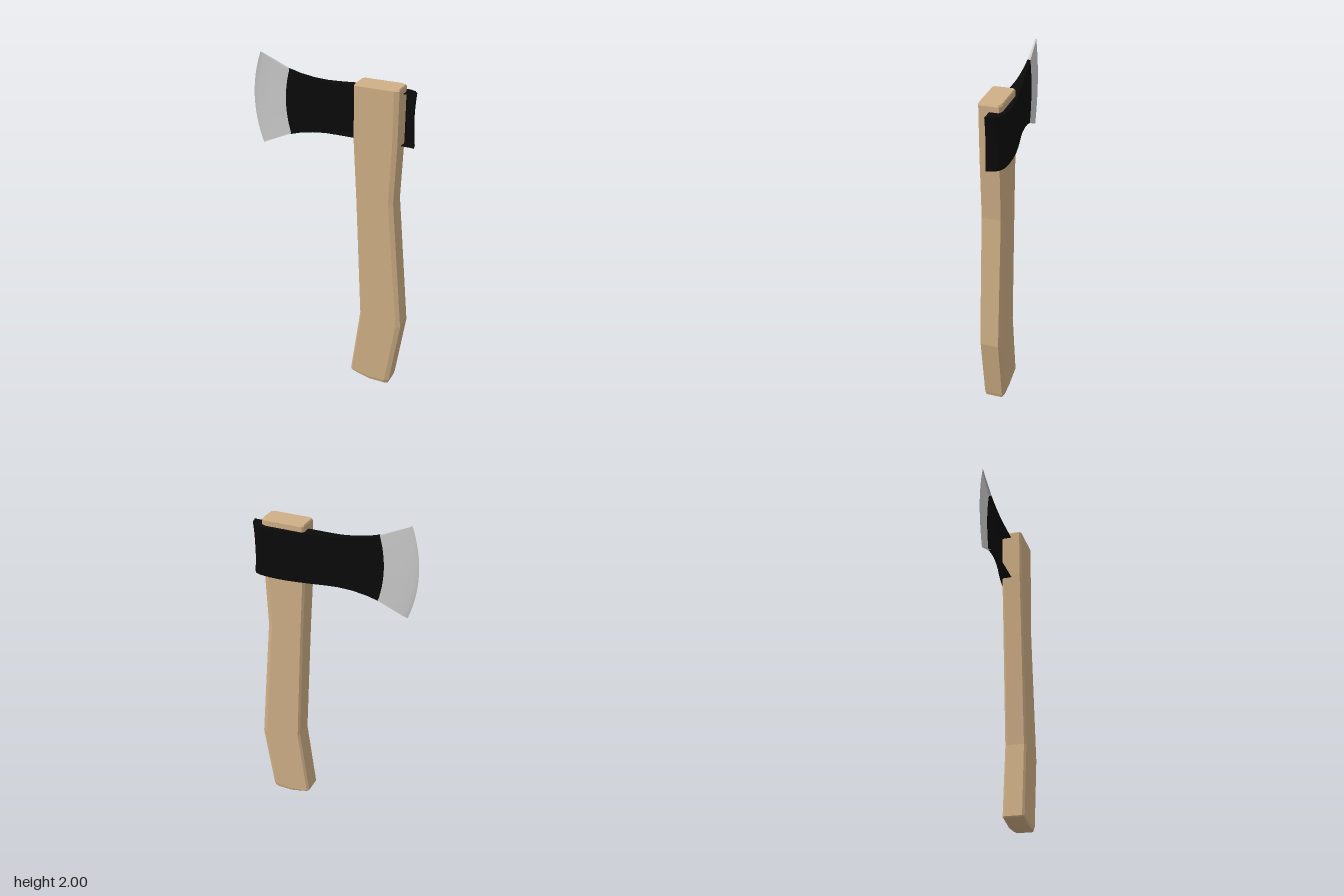
import * as THREE from 'three';

const wood = new THREE.MeshStandardMaterial({ color: 0xcfaf86 });
wood.name = 'wood';
const blackIron = new THREE.MeshStandardMaterial({ color: 0x0a0a0a, side: THREE.DoubleSide });
blackIron.name = 'black iron';
const steel = new THREE.MeshStandardMaterial({ color: 0xcccccc, side: THREE.DoubleSide });
steel.name = 'bare steel';

function buildGeometry(points, index) {
  const geometry = new THREE.BufferGeometry();
  geometry.setAttribute('position', new THREE.Float32BufferAttribute(points.flat(), 3));
  geometry.setIndex(index);
  return geometry;
}

// ---- Handle: chamfered ten-sided rings, each tilted between a left and a right height
const Z_FRONT = 0.078, Z_BACK = -0.052, CHAMFER_Z = 0.012;

function handleRing([xl, yl, xr, yr, midDrop = 0, inset = 0]) {
  const cl = 0.012, cr = 0.026, xm = (xl + xr) / 2;
  const zf = Z_FRONT - inset, zb = Z_BACK + inset;
  const at = (x, z, drop = 0) => [x, yl + (yr - yl) * (x - xl) / (xr - xl) - drop, z];
  return [
    at(xl, zf - CHAMFER_Z), at(xl + cl, zf), at(xm, zf, midDrop), at(xr - cr, zf), at(xr, zf - CHAMFER_Z),
    at(xr, zb + CHAMFER_Z), at(xr - cr, zb), at(xm, zb, midDrop), at(xl + cl, zb), at(xl, zb + CHAMFER_Z),
  ];
}

function createHandle() {
  // left x, left y, right x, right y, dip in the middle, inset
  const sections = [
    [0.163, 0.034, 0.406, 0.0, 0.013, 0.005],
    [0.158, 0.042, 0.413, 0.026, 0.014],
    [0.214, 0.48, 0.474, 0.44],
    [0.176, 1.25, 0.4, 1.25],
    [0.155, 1.6, 0.412, 1.6],
    [0.155, 1.908, 0.413, 1.908],
    [0.16, 1.917, 0.408, 1.917, 0, 0.005],
  ];
  const n = 10, points = sections.flatMap(handleRing), index = [];
  const last = (sections.length - 1) * n;
  for (let s = 0; s < sections.length - 1; s++) {
    for (let k = 0; k < n; k++) {
      const a = s * n + k, b = s * n + (k + 1) % n;
      index.push(a, b, b + n, a, b + n, a + n);
    }
  }
  // end caps
  const zMid = (Z_FRONT + Z_BACK) / 2;
  const bottom = points.push([points[2][0], points[2][1], zMid]) - 1;
  const top = points.push([points[last + 2][0], 1.917, zMid]) - 1;
  for (let k = 0; k < n; k++) {
    const next = (k + 1) % n;
    index.push(bottom, next, k, top, last + k, last + next);
  }
  const geometry = buildGeometry(points, index).toNonIndexed();
  geometry.computeVertexNormals();
  const handle = new THREE.Mesh(geometry, wood);
  handle.name = 'handle';
  return handle;
}

// ---- Axe head: a half shell, open on its flat side
const Z_SPLIT = 0.012, ROWS = 12;

function gridMesh(name, columns, material) {
  const rows = columns[0].length, index = [];
  for (let i = 0; i < columns.length - 1; i++) {
    for (let j = 0; j < rows - 1; j++) {
      const a = i * rows + j, b = a + rows;
      index.push(a, a + 1, b, b, a + 1, b + 1);
    }
  }
  const geometry = buildGeometry(columns.flat(), index);
  geometry.computeVertexNormals();
  const mesh = new THREE.Mesh(geometry, material);
  mesh.name = name;
  return mesh;
}

function headSection(name, stations, material) {
  const group = new THREE.Group();
  group.name = name;
  // station: x at the ends, sideways bow at mid height, bottom y, top y, z
  const columns = stations.map(([x, bow, y0, y1, z]) =>
    Array.from({ length: ROWS + 1 }, (_, j) => {
      const t = 2 * j / ROWS - 1;
      return [x + bow * (1 - t * t), y0 + (y1 - y0) * j / ROWS, z];
    }));
  const flat = ([x, y]) => [x, y, Z_SPLIT];
  group.add(
    gridMesh(name + 'Cheek', columns, material),
    gridMesh(name + 'TopEdge', columns.map(c => [c[ROWS], flat(c[ROWS])]), material),
    gridMesh(name + 'BottomEdge', columns.map(c => [flat(c[0]), c[0]]), material),
  );
  return group;
}

export function createModel() {
  const model = new THREE.Group();
  model.name = 'hatchet';
  const seam = [-0.268, -0.029, 1.535, 1.922, -0.005];

  const blade = headSection('blade', [
    [-0.44, -0.05, 1.457, 2.0, Z_SPLIT],
    [-0.42, -0.046, 1.466, 1.99, 0.005],
    [-0.35, -0.04, 1.498, 1.959, 0.0],
    seam,
  ], steel);

  const body = headSection('headBody', [
    seam,
    [-0.2, -0.02, 1.556, 1.902, -0.011],
    [-0.12, -0.01, 1.572, 1.887, -0.019],
    [-0.04, 0, 1.581, 1.879, -0.03],
    [0.03, 0, 1.582, 1.878, -0.041],
    [0.1, 0, 1.582, 1.878, -0.055],
    [0.17, 0, 1.582, 1.878, -0.067],
    [0.24, 0, 1.582, 1.878, -0.077],
    [0.3, 0, 1.582, 1.878, -0.081],
    [0.36, 0, 1.582, 1.878, -0.081],
    [0.42, 0, 1.582, 1.878, -0.075],
    [0.456, -0.004, 1.582, 1.878, -0.061],
    [0.475, -0.009, 1.581, 1.879, -0.035],
    [0.487, -0.012, 1.58, 1.88, Z_SPLIT],
  ], blackIron);

  model.add(createHandle(), blade, body);
  return model;
}
